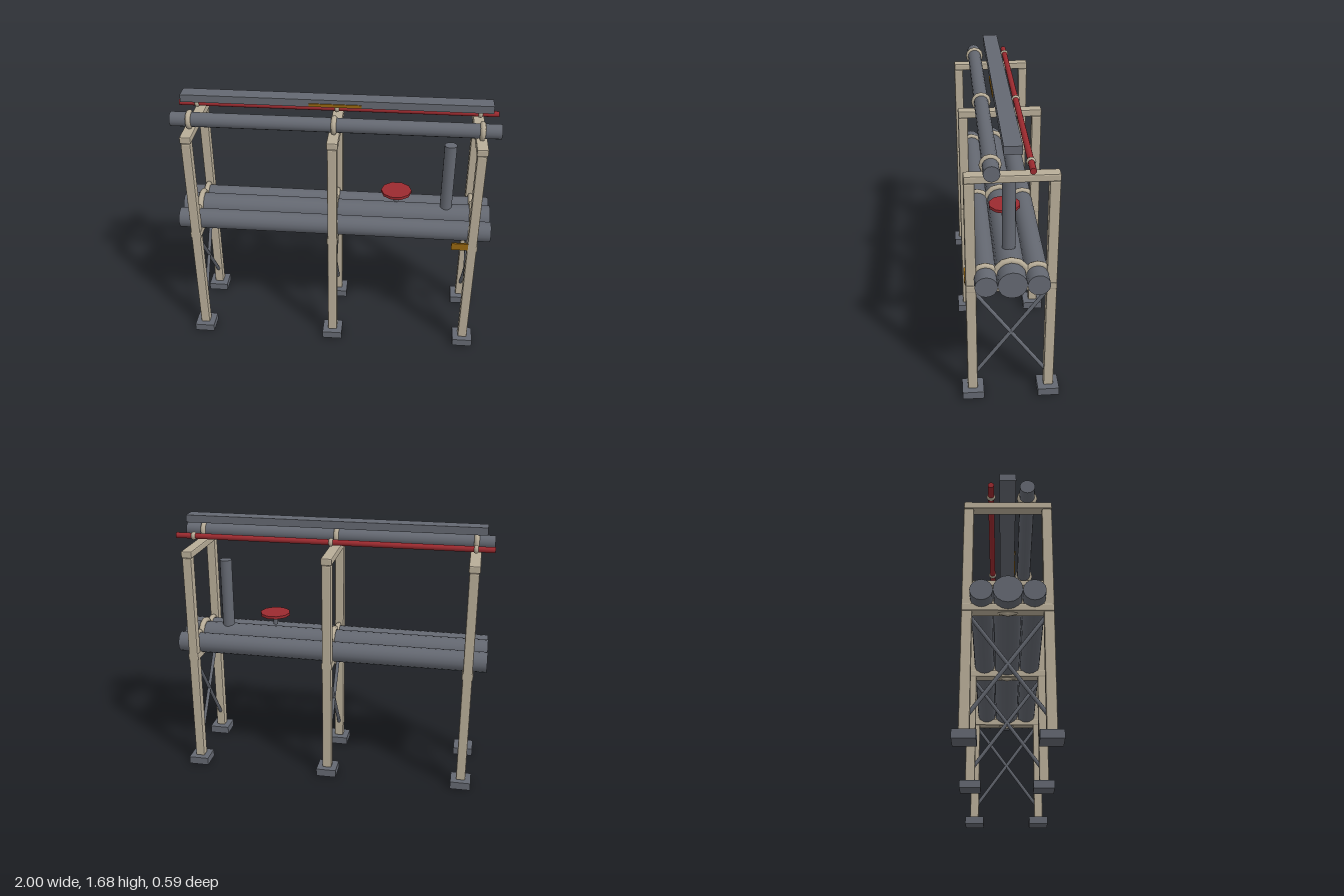
import * as THREE from 'three';
import { RoundedBoxGeometry } from 'three/addons/geometries/RoundedBoxGeometry.js';

const paint = (color, flatShading = false) => new THREE.MeshStandardMaterial({ color, flatShading });

export function createModel() {
  const model = new THREE.Group();
  model.name = 'pipeRack';
  const frameMat = paint(0xb8ad98, true);
  const clampMat = paint(0xb8ad98);
  const steel = paint(0x646871);
  const red = paint(0x9b2a2f);
  const yellow = paint(0x966610);

  const add = (parent, name, geometry, material, x, y, z) => {
    const mesh = new THREE.Mesh(geometry, material);
    mesh.name = name;
    mesh.position.set(x, y, z);
    parent.add(mesh);
    return mesh;
  };
  const box = (parent, name, mat, w, h, d, x, y, z) =>
    add(parent, name, new THREE.BoxGeometry(w, h, d), mat, x, y, z);
  // Frame member with chamfered edges
  const beam = (parent, name, w, h, d, x, y, z) =>
    add(parent, name, new RoundedBoxGeometry(w, h, d, 1, 0.008), frameMat, x, y, z);
  const upright = (name, mat, r, y0, y1, x, z, sides) =>
    add(model, name, new THREE.CylinderGeometry(r, r, y1 - y0, sides), mat, x, (y0 + y1) / 2, z);

  // Long pipes: radius, height, depth, and the clamp's ring and tube radii
  const pipes = [
    { name: 'mainPipe', mat: steel, r: 0.084, y: 0.853, z: 0, ring: 0.093, tube: 0.019 },
    { name: 'frontPipe', mat: steel, r: 0.065, y: 0.847, z: 0.148, ring: 0.07, tube: 0.017 },
    { name: 'backPipe', mat: steel, r: 0.065, y: 0.847, z: -0.148, ring: 0.07, tube: 0.017 },
    { name: 'upperPipe', mat: steel, r: 0.045, y: 1.545, z: 0.115, ring: 0.044, tube: 0.017 },
    { name: 'redPipe', mat: red, r: 0.018, y: 1.555, z: -0.1, ring: 0.011, tube: 0.016 },
  ];
  for (const p of pipes) {
    const pipe = add(model, p.name, new THREE.CylinderGeometry(p.r, p.r, 2, 16), p.mat, 0, p.y, p.z);
    pipe.rotation.z = Math.PI / 2;
  }

  // Three portal frames with feet, cross braces and pipe clamps
  for (const x of [-0.886, 0, 0.886]) {
    const frame = new THREE.Group();
    frame.name = 'portalFrame';
    frame.position.x = x;
    model.add(frame);
    for (const s of [1, -1]) {
      beam(frame, 'post', 0.06, 1.4, 0.06, 0, 0.75, s * 0.23);
      box(frame, 'foot', steel, 0.13, 0.05, 0.13, 0, 0.025, s * 0.228);
      const length = Math.hypot(0.44, 0.61);
      const brace = add(frame, 'crossBrace', new THREE.CylinderGeometry(0.012, 0.012, length, 8), steel, 0, 0.447, 0);
      brace.rotation.x = s * Math.atan2(0.44, 0.61);
    }
    beam(frame, 'topBeam', 0.07, 0.045, 0.52, 0, 1.472, 0);
    beam(frame, 'lowerBeam', 0.07, 0.047, 0.52, 0, 0.783, 0);
    for (const p of pipes) {
      const clamp = add(frame, p.name + 'Clamp', new THREE.TorusGeometry(p.ring, p.tube, 8, 12), clampMat, 0, p.y, p.z);
      clamp.rotation.y = Math.PI / 2;
    }
  }

  // Cable tray and its label plate
  box(model, 'cableTray', steel, 1.9, 0.047, 0.1, 0, 1.652, 0);
  box(model, 'trayPlate', yellow, 0.32, 0.018, 0.01, 0, 1.642, 0.051);

  // Riser and valve above the main pipe
  upright('riser', steel, 0.039, 0.92, 1.38, 0.717, 0, 14);
  upright('valveStem', steel, 0.016, 0.955, 1.022, 0.393, 0, 8);
  upright('valveWheel', red, 0.098, 1.021, 1.039, 0.393, 0, 10).rotation.y = Math.PI / 2;

  // Marker plate beside the front post
  box(model, 'markerPlate', yellow, 0.105, 0.048, 0.012, 0.807, 0.8, 0.259);

  return model;
}
